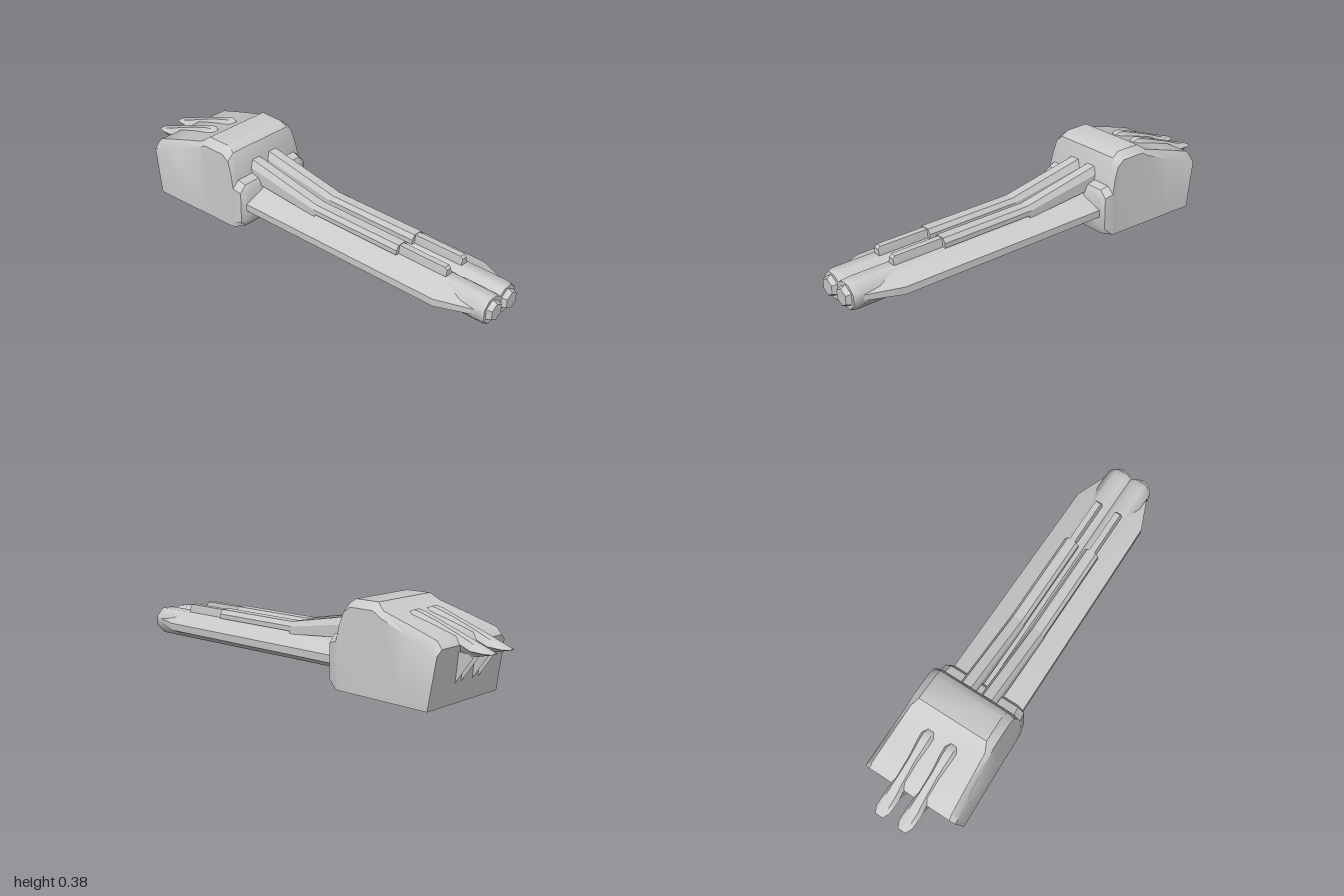
import * as THREE from 'three';
import { toCreasedNormals } from 'three/addons/utils/BufferGeometryUtils.js';
import { ConvexGeometry } from 'three/addons/geometries/ConvexGeometry.js';

const material = new THREE.MeshStandardMaterial({ color: 0xcccccc });

// Skin equal-length rings (counter-clockwise seen from +z, ordered front to back) and cap both ends
function loft(rings, crease = 0.65) {
  const n = rings[0].length, pos = rings.flat(2), index = [];
  for (let i = 0; i < rings.length - 1; i++) {
    for (let j = 0; j < n; j++) {
      const k = (j + 1) % n, a = i * n + j, b = i * n + k;
      index.push(a, a + n, b, b, a + n, b + n);
    }
  }
  [0, rings.length - 1].forEach((r, end) => {
    const c = pos.length / 3;
    for (let d = 0; d < 3; d++) pos.push(rings[r].reduce((s, p) => s + p[d] / n, 0));
    for (let j = 0; j < n; j++) {
      const a = r * n + j, b = r * n + (j + 1) % n;
      index.push(c, ...(end ? [b, a] : [a, b]));
    }
  });
  const g = new THREE.BufferGeometry();
  g.setAttribute('position', new THREE.Float32BufferAttribute(pos, 3));
  g.setIndex(index);
  return toCreasedNormals(g, crease);
}

// Complete a ring from its right half, listed from bottom to top
const symmetric = half => [...half, ...[...half].reverse().map(([x, y, z]) => [-x, y, z])];
const mirrorRing = ring => ring.map(([x, y, z]) => [-x, y, z]).reverse();
const shift = (ring, dx) => ring.map(([x, y, z]) => [x + dx, y, z]);

// Twin-lobed barrel outline
function barrelRing(r, z) {
  const half = [[0, 0.115 - r * 0.62, z]];
  for (let i = 0; i < 6; i++) {
    const a = THREE.MathUtils.degToRad(-112.5 + 45 * i);
    half.push([0.052 + r * Math.cos(a), 0.115 + r * Math.sin(a), z]);
  }
  const top = [0, 0.115 + r * 0.62, z];
  const left = half.slice(1).reverse().map(([x, y]) => [-x, y, z]);
  return [...half, top, ...left];
}

// Bevelled pipe section: half width, bottom, shoulder and top heights
const pipeRing = (z, w, yb, ys, yt, wt) => symmetric([[w, yb, z], [w, ys, z], [wt, yt, z]]);

export function createModel() {
  const model = new THREE.Group();
  const add = (name, geometry) => {
    const mesh = new THREE.Mesh(geometry, material);
    mesh.name = name;
    model.add(mesh);
    return mesh;
  };

  // Housing: z, then x/y of floor edge, lower side, shoulder and roof edge
  const stations = [
    [-0.275, 0.163, 0.040, 0.185, 0.062, 0.185, 0.180, 0.163, 0.202],
    [-0.290, 0.185, 0.012, 0.208, 0.040, 0.206, 0.192, 0.175, 0.226],
    [-0.330, 0.215, 0.002, 0.218, 0.030, 0.214, 0.205, 0.180, 0.237],
    [-0.345, 0.218, 0.000, 0.219, 0.030, 0.209, 0.275, 0.176, 0.310],
    [-0.365, 0.219, 0.000, 0.219, 0.030, 0.206, 0.330, 0.171, 0.362],
    [-0.400, 0.220, 0.000, 0.220, 0.030, 0.205, 0.354, 0.167, 0.385],
    [-0.520, 0.224, 0.000, 0.223, 0.030, 0.206, 0.354, 0.170, 0.385],
    [-0.560, 0.226, 0.000, 0.225, 0.030, 0.208, 0.330, 0.188, 0.356],
    [-0.700, 0.231, 0.000, 0.230, 0.030, 0.219, 0.280, 0.195, 0.316],
    [-0.835, 0.236, 0.000, 0.235, 0.030, 0.229, 0.232, 0.202, 0.275],
    [-0.860, 0.237, 0.000, 0.236, 0.030, 0.230, 0.222, 0.204, 0.245],
  ];
  add('housing', loft(stations.map(([z, ...s]) => symmetric([0, 2, 4, 6].map(k => {
    // the rear wall leans back towards its top
    const lean = z < -0.6 ? 0.04 * (-0.6 - z) / 0.26 * (1 - s[k + 1] / 0.245) : 0;
    return [s[k], s[k + 1], z + Math.max(0, lean)];
  }))), 0.6));

  // Twin barrel with rounded nose
  add('barrel', loft([[0.06, 0.978], [0.066, 0.965], [0.068, 0.94], [0.068, -0.3]]
    .map(([r, z]) => barrelRing(r, z)), 0.85));

  // Side rails that taper into the nose
  const rail = (z, x0, x1, h0, h1) => [
    [x0, 0.116 - h0, z], [x1, 0.116 - h1, z], [x1, 0.116 + h1, z], [x0, 0.116 + h0, z]];
  const rails = [rail(0.96, 0.05, 0.105, 0.03, 0.012), rail(0.78, 0.07, 0.176, 0.058, 0.017),
    rail(-0.3, 0.07, 0.186, 0.058, 0.017)];
  add('leftRail', loft(rails));
  add('rightRail', loft(rails.map(mirrorRing)));

  for (const [side, sx] of [['left', 1], ['right', -1]]) {
    const x = sx * 0.053;

    // Hexagonal muzzle
    const muzzle = new THREE.CylinderGeometry(0.038, 0.052, 0.03, 6).toNonIndexed();
    muzzle.computeVertexNormals();
    muzzle.rotateX(Math.PI / 2);
    const m = add(side + 'Muzzle', muzzle);
    m.position.set(sx * 0.052, 0.115, 0.985);
    // turn a hexagon corner upwards if needed
    m.rotation.z = 0;

    // Top pipe sloping down from the housing
    add(side + 'TopPipe', loft([
      pipeRing(0.06, 0.036, 0.165, 0.198, 0.22, 0.022),
      pipeRing(-0.36, 0.038, 0.2, 0.265, 0.3, 0.022),
    ].map(r => shift(r, x)), 0.3));

    // Thick sleeve and thin rod along the barrel
    add(side + 'Sleeve', loft([0.52, 0.05]
      .map(z => shift(pipeRing(z, 0.036, 0.178, 0.2, 0.22, 0.022), x)), 0.3));
    add(side + 'Rod', loft([
      pipeRing(0.762, 0.019, 0.165, 0.185, 0.205, 0.013),
      pipeRing(0.752, 0.019, 0.165, 0.187, 0.217, 0.014),
      pipeRing(0.5, 0.019, 0.165, 0.187, 0.217, 0.014),
    ].map(r => shift(r, x)), 0.3));

    // Rear horn: z, half width, bottom, top
    const hx = sx * 0.058;
    add(side + 'Horn', loft([
      [-0.595, 0.022, 0.325, 0.342], [-0.625, 0.031, 0.315, 0.355], [-0.66, 0.031, 0.3, 0.347],
      [-0.74, 0.025, 0.275, 0.32], [-0.84, 0.030, 0.225, 0.284], [-0.91, 0.037, 0.203, 0.256],
      [-0.97, 0.034, 0.217, 0.235], [-1.0, 0.019, 0.223, 0.226],
    ].map(([z, w, yb, yt]) => shift(symmetric([
      [w * 0.6, yb, z], [w, (yb + yt) / 2, z], [w * 0.55, yt, z]]), hx)), 0.7));

    // Two pointed fins under each horn
    for (const f of [-1, 1]) {
      const fx = hx + f * 0.02;
      const corners = [
        [fx - 0.013, 0.22, -0.84], [fx + 0.013, 0.22, -0.84],
        [fx, 0.212, -0.925], [fx, 0.085, -0.832], [fx, 0.2, -0.895]];
      add(side + 'HornFin', new ConvexGeometry(corners.map(p => new THREE.Vector3(...p))));
    }
  }
  return model;
}
